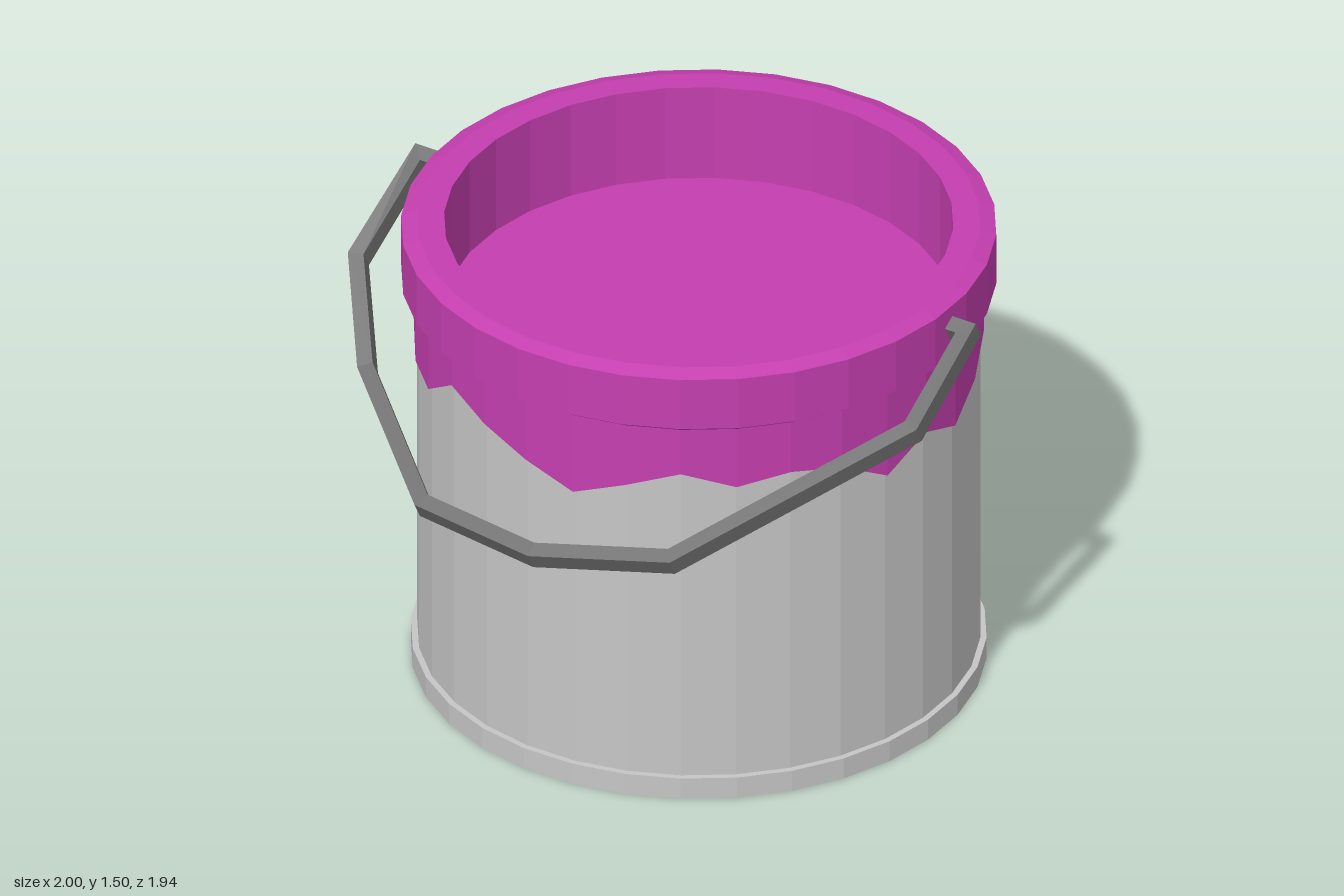
import * as THREE from 'three';

const SIDES = 32;
const STEP = (Math.PI * 2) / SIDES;

const mat = (name, color, extra = {}) => {
  const m = new THREE.MeshStandardMaterial({ color, flatShading: true, ...extra });
  m.name = name;
  return m;
};

// Faceted turned part; profile runs from the outside bottom upward
function turned(name, profile, material) {
  const pts = profile.map(([r, y]) => new THREE.Vector2(r, y));
  const mesh = new THREE.Mesh(new THREE.LatheGeometry(pts, SIDES, STEP / 2), material);
  mesh.name = name;
  return mesh;
}

// Surface from equal-length cross-sections, joined in order
function loft(sections, closed) {
  const pos = [];
  const n = sections[0].length;
  for (let i = 0; i < sections.length - 1; i++) {
    for (let j = 0; j < (closed ? n : n - 1); j++) {
      const k = (j + 1) % n;
      const a = sections[i][j], b = sections[i + 1][j], c = sections[i + 1][k], d = sections[i][k];
      for (const p of [a, b, c, a, c, d]) pos.push(p.x, p.y, p.z);
    }
  }
  const g = new THREE.BufferGeometry();
  g.setAttribute('position', new THREE.Float32BufferAttribute(pos, 3));
  g.computeVertexNormals();
  return g;
}

// Height of the dripping paint edge at each facet corner, from the front round to +x
const DRIPS = [
  1.134, 1.085, 1.115, 1.088, 1.0, 1.077, 1.013, 1.08,
  1.15, 1.07, 0.995, 1.15, 0.96, 1.075, 1.055, 1.03,
  1.078, 1.033, 1.06, 1.07, 0.99, 1.07, 1.13, 1.04,
  1.143, 1.08, 1.08, 1.187, 1.135, 1.08, 1.02, 1.08,
];

function dripGeometry() {
  const sections = [];
  for (let i = 0; i <= SIDES; i++) {
    const t = (i + 0.5) * STEP;
    const y = DRIPS[i % SIDES];
    const at = (r, h) => new THREE.Vector3(r * Math.sin(t), h, r * Math.cos(t));
    sections.push([at(0.842, y), at(0.856, y), at(0.856, 1.3)]);
  }
  return loft(sections, false);
}

// Rectangular bar swept along the bent handle path with mitred corners
function handleGeometry() {
  const path = [
    [-0.68, 1.41, -0.39], [-0.815, 1.42, -0.435], [-0.965, 1.19, -0.2], [-0.885, 1.0, 0.12],
    [-0.63, 0.865, 0.64], [-0.26, 0.86, 0.86], [0.17, 0.925, 0.935],
    [0.85, 1.25, 0.605], [0.965, 1.41, 0.285], [0.86, 1.41, 0.24],
  ].map((p) => new THREE.Vector3(...p));
  const normal = new THREE.Vector3().subVectors(path[8], path[1])
    .cross(new THREE.Vector3(-0.25, -0.55, 0.93)).normalize();
  const last = path.length - 1;
  const sections = path.map((p, i) => {
    const before = path[Math.max(i, 1)].clone().sub(path[Math.max(i, 1) - 1]).normalize();
    const j = Math.min(i, last - 1);
    const after = path[j + 1].clone().sub(path[j]).normalize();
    const tangent = before.clone().add(after).normalize();
    const mitre = 1 / Math.max(0.65, tangent.dot(before));
    const side = tangent.clone().cross(normal).normalize();
    return [[1, 1], [-1, 1], [-1, -1], [1, -1]].map(([u, v]) => p.clone()
      .addScaledVector(side, u * 0.024 * mitre)
      .addScaledVector(normal, v * 0.032));
  });
  // Close both ends
  const cap = (s) => {
    const c = s.reduce((a, p) => a.add(p), new THREE.Vector3()).multiplyScalar(0.25);
    return s.map(() => c);
  };
  return loft([cap(sections[0]), ...sections, cap(sections[last])], true);
}

export function createModel() {
  const metal = mat('lightGrey', 0xc6c6c6);
  const paint = mat('magentaPaint', 0xc53fb0, { side: THREE.DoubleSide });
  const steel = mat('darkGrey', 0x727272, { side: THREE.DoubleSide });

  const model = new THREE.Group();
  model.name = 'paintBucket';

  const bucket = new THREE.Group();
  bucket.name = 'bucket';
  bucket.position.set(0.088, 0, -0.077);
  model.add(bucket);

  // Can with bottom plate and foot ring
  bucket.add(turned('can', [[0, 0], [0.864, 0], [0.864, 0.07], [0.845, 0.07], [0.845, 1.3]], metal));

  // Bevelled rim and inner wall
  bucket.add(turned('rim', [
    [0.84, 1.29], [0.856, 1.29], [0.893, 1.315], [0.893, 1.487], [0.845, 1.503], [0.764, 1.503], [0.764, 1.185],
  ], paint));

  // Paint surface inside
  bucket.add(turned('paintSurface', [[0.764, 1.185], [0, 1.185]], paint));

  // Paint running down the outside
  const drips = new THREE.Mesh(dripGeometry(), paint);
  drips.name = 'paintDrips';
  bucket.add(drips);

  // Carrying handle
  const handle = new THREE.Mesh(handleGeometry(), steel);
  handle.name = 'handle';
  model.add(handle);

  return model;
}
